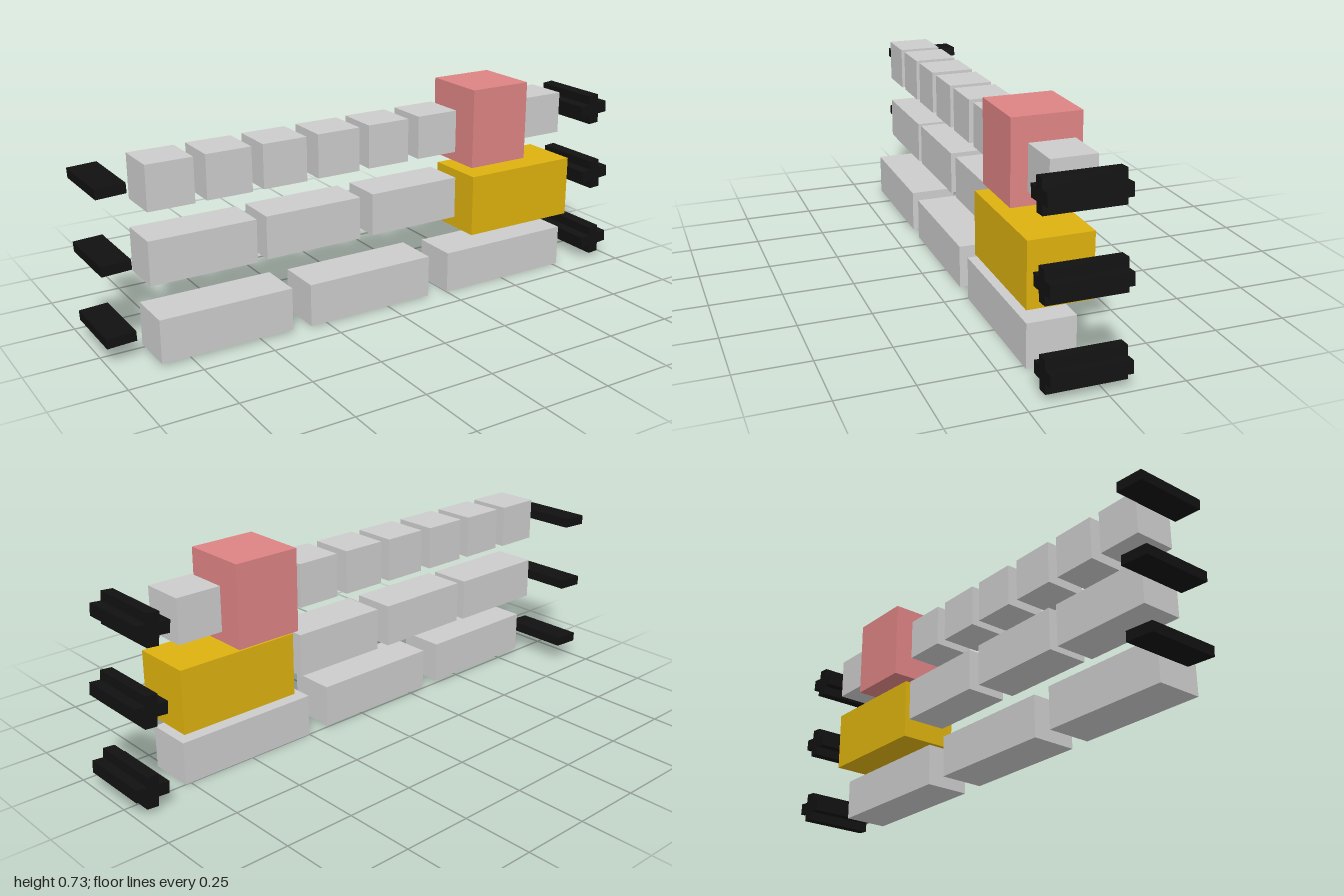
import * as THREE from 'three';

const material = (color) => new THREE.MeshStandardMaterial({ color, flatShading: true });

export function createModel() {
  const model = new THREE.Group();
  const grey = material(0xcccccc);
  const black = material(0x111111);
  const red = material(0xdd8383);
  const yellow = material(0xdcb10e);

  // Box given by its limits on each axis
  function block(name, mat, [x0, x1], [y0, y1], [z0, z1]) {
    const mesh = new THREE.Mesh(new THREE.BoxGeometry(x1 - x0, y1 - y0, z1 - z0), mat);
    mesh.position.set((x0 + x1) / 2, (y0 + y1) / 2, (z0 + z1) / 2);
    mesh.name = name;
    model.add(mesh);
  }

  // Top row: small cubes and one tall red block
  [-0.85, -0.65, -0.45, -0.247, -0.05, 0.153, 0.63].forEach((x, i) => {
    const y = 0.5 + 0.01 * (x + 0.85) / 1.48;
    block(`topCube${i + 1}`, grey, [x, x + 0.16], [y, y + 0.152], [-0.045, 0.108]);
  });
  block('tallBlock', red, [0.358, 0.595], [0.45, 0.734], [-0.085, 0.15]);

  // Middle row: three blocks and one large yellow block
  [[-0.855, -0.48, 0.255], [-0.445, -0.085, 0.258], [-0.035, 0.317, 0.26]].forEach(([a, b, y], i) =>
    block(`middleBlock${i + 1}`, grey, [a, b], [y, y + 0.15], [-0.045, 0.108]));
  block('wideBlock', yellow, [0.347, 0.79], [0.204, 0.424], [-0.043, 0.174]);

  // Bottom row: three long blocks
  [[-0.855, -0.385, 0.011], [-0.315, 0.167, 0.006], [0.25, 0.77, 0]].forEach(([a, b, y], i) =>
    block(`bottomBlock${i + 1}`, grey, [a, b], [y, y + 0.15], [0, 0.165]));

  // Cross-section of the crossed bars
  const w = 0.059, h = 0.054, t = 0.021;
  const cross = new THREE.Shape([
    [t, -h], [t, -t], [w, -t], [w, t], [t, t], [t, h],
    [-t, h], [-t, t], [-w, t], [-w, -t], [-t, -t], [-t, -h],
  ].map(([x, y]) => new THREE.Vector2(x, y)));
  const crossGeometry = new THREE.ExtrudeGeometry(cross, { depth: 0.261, bevelEnabled: false });
  const barGeometry = new THREE.BoxGeometry(0.1, 0.034, 0.258);

  // Slightly tilted end bars: crossed on the left, flat on the right
  [[0.895, 0.6], [0.922, 0.342], [0.937, 0.072]].forEach(([x, y], i) => {
    const mesh = new THREE.Mesh(crossGeometry, black);
    mesh.name = `crossBar${i + 1}`;
    mesh.position.set(x, y, -0.077);
    mesh.rotation.z = 0.08;
    model.add(mesh);
  });
  [[-0.949, 0.576], [-0.949, 0.325], [-0.949, 0.081]].forEach(([x, y], i) => {
    const mesh = new THREE.Mesh(barGeometry, black);
    mesh.name = `flatBar${i + 1}`;
    mesh.position.set(x, y, -0.054);
    mesh.rotation.z = 0.05;
    model.add(mesh);
  });

  return model;
}
